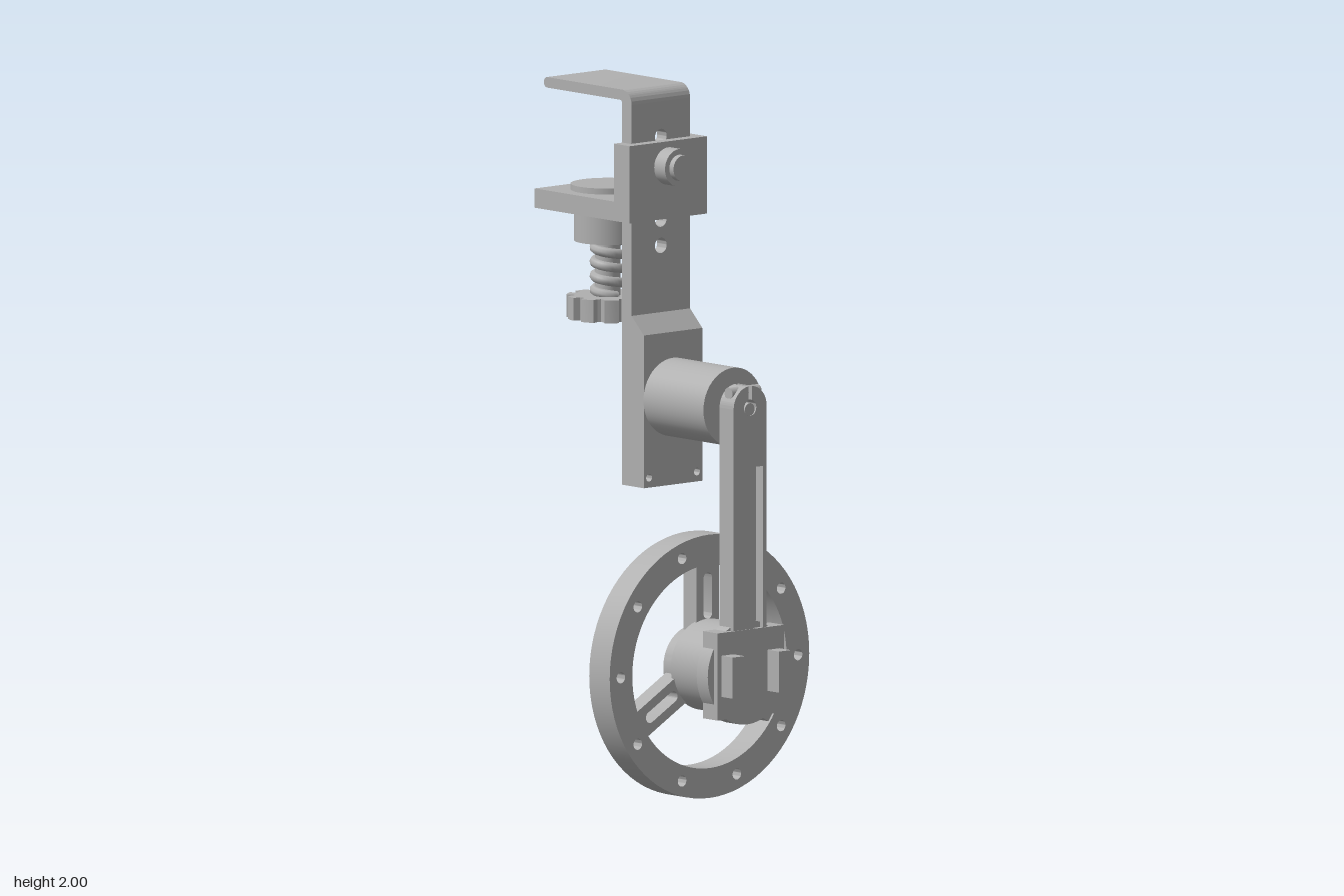
import * as THREE from 'three';
import { toCreasedNormals } from 'three/addons/utils/BufferGeometryUtils.js';

export function createModel() {
  const root = new THREE.Group();
  root.name = 'clampedWheelMount';
  const grey = new THREE.MeshStandardMaterial({ color: 0xb0b0b0 });
  grey.name = 'machined grey';

  const add = (name, geo) => {
    const mesh = new THREE.Mesh(geo, grey);
    mesh.name = name;
    root.add(mesh);
    return mesh;
  };
  const extrude = (shape, depth) => toCreasedNormals(
    new THREE.ExtrudeGeometry(shape, { depth, bevelEnabled: false, curveSegments: 40 }), 0.5);
  // Outline in (-z, y), pushed from x0 to x1
  const alongX = (name, shape, x0, x1) =>
    add(name, extrude(shape, x1 - x0).rotateY(Math.PI / 2).translate(x0, 0, 0));
  // Outline in (x, y), centred on z = 0
  const alongZ = (name, shape, width) =>
    add(name, extrude(shape, width).translate(0, 0, -width / 2));
  const box = (name, x0, x1, y0, y1, z0, z1) =>
    add(name, new THREE.BoxGeometry(x1 - x0, y1 - y0, z1 - z0)
      .translate((x0 + x1) / 2, (y0 + y1) / 2, (z0 + z1) / 2));
  const rodX = (name, r, x0, x1, y) =>
    add(name, new THREE.CylinderGeometry(r, r, x1 - x0, 48).rotateZ(Math.PI / 2).translate((x0 + x1) / 2, y, 0));
  const rodY = (name, r, y0, y1, x) =>
    add(name, new THREE.CylinderGeometry(r, r, y1 - y0, 48).translate(x, (y0 + y1) / 2, 0));
  const poly = (pts) => new THREE.Shape(pts.map(([a, b]) => new THREE.Vector2(a, b)));
  const rect = (a0, a1, b0, b1) => poly([[a0, b0], [a1, b0], [a1, b1], [a0, b1]]);
  const circle = (Type, a, b, r) => {
    const p = new Type();
    p.absarc(a, b, r, 0, Math.PI * 2, false);
    return p;
  };
  const hole = (shape, a, b, r) => shape.holes.push(circle(THREE.Path, a, b, r));

  // Hook with a rounded bend at the top of the strap
  const hook = new THREE.Shape();
  hook.moveTo(-0.03, 1.92);
  hook.lineTo(-0.03, 1.96);
  hook.absarc(-0.07, 1.96, 0.04, 0, Math.PI / 2, false);
  hook.lineTo(-0.388, 2.0);
  hook.absarc(-0.388, 1.985, 0.015, Math.PI / 2, Math.PI * 1.5, false);
  hook.lineTo(-0.08, 1.97);
  hook.absarc(-0.08, 1.96, 0.01, Math.PI / 2, 0, true);
  hook.lineTo(-0.07, 1.92);
  alongZ('topHook', hook, 0.22);

  // Strap with adjustment holes
  const strap = rect(-0.11, 0.11, 1.36, 1.92);
  [1.55, 1.625, 1.7, 1.78, 1.86].forEach((y) => hole(strap, 0, y, 0.022));
  alongX('strap', strap, -0.07, -0.03);

  // Thick motor mount at the foot of the strap
  alongZ('motorMount', poly([[-0.07, 0.93], [0.022, 0.93], [0.022, 1.31], [-0.03, 1.36], [-0.07, 1.36]]), 0.22);
  const foot = rect(-0.11, 0.11, 0.875, 0.93);
  [-0.09, 0.09].forEach((a) => hole(foot, a, 0.903, 0.011));
  alongX('mountFoot', foot, -0.07, 0.022);

  // Sliding clamp: plate, cheeks around the strap, shelf
  box('clampPlate', -0.03, 0.002, 1.63, 1.85, -0.145, 0.145);
  box('clampCheek', -0.065, -0.03, 1.63, 1.85, 0.113, 0.145);
  box('clampCheek', -0.065, -0.03, 1.63, 1.85, -0.145, -0.113);
  box('clampShelf', -0.402, -0.065, 1.63, 1.685, -0.145, 0.145);
  rodX('lockBolt', 0.053, 0, 0.048, 1.78);
  rodX('lockBoltTip', 0.037, 0.048, 0.066, 1.78);

  // Clamping screw
  const sx = -0.255;
  rodY('clampPad', 0.105, 1.685, 1.702, sx);
  rodY('screwBoss', 0.095, 1.54, 1.63, sx);
  rodY('screwCore', 0.036, 1.38, 1.545, sx);
  const turns = 4, helix = [];
  for (let i = 0; i <= turns * 16; i++) {
    const t = i / 16, a = t * Math.PI * 2;
    helix.push(new THREE.Vector3(sx + 0.038 * Math.cos(a), 1.385 + 0.16 * t / turns, 0.038 * Math.sin(a)));
  }
  add('screwThread', new THREE.TubeGeometry(new THREE.CatmullRomCurve3(helix), turns * 28, 0.014, 8));

  // Knob with scalloped grip
  const knob = new THREE.Shape(), lobes = 10;
  for (let i = 0; i < lobes; i++) {
    const a = (i / lobes) * Math.PI * 2, gap = Math.PI / lobes;
    for (let k = 0; k <= 4; k++) {
      const b = a + (k / 4 - 0.5) * gap * 1.1;
      if (i + k === 0) knob.moveTo(0.116 * Math.cos(b), 0.116 * Math.sin(b));
      else knob.lineTo(0.116 * Math.cos(b), 0.116 * Math.sin(b));
    }
    for (const f of [0.72, 1, 1.28]) {
      const b = a + f * gap, r = f === 1 ? 0.092 : 0.097;
      knob.lineTo(r * Math.cos(b), r * Math.sin(b));
    }
  }
  add('screwKnob', extrude(knob, 0.065).rotateX(-Math.PI / 2).translate(sx, 1.32, 0));

  // Motor and shaft
  const my = 1.125;
  rodX('motor', 0.111, 0.022, 0.277, my);
  rodX('motorShaft', 0.018, 0.277, 0.348, my);

  // Crank arm: split eye at the top, blind groove on the outer face
  const armShape = () => {
    const s = new THREE.Shape(), q = Math.PI / 2;
    s.moveTo(-0.062, 0.45);
    s.lineTo(0.062, 0.45);
    s.lineTo(0.062, 1.13);
    s.absarc(0, 1.13, 0.062, 0, q - 0.1, false);
    s.absarc(0, 1.13, 0.023, q - 0.28, q + 0.28 - Math.PI * 2, true);
    s.absarc(0, 1.13, 0.062, q + 0.1, Math.PI, false);
    return s;
  };
  alongX('armBack', armShape(), 0.29, 0.32);
  const front = armShape();
  const groove = new THREE.Path();
  groove.setFromPoints([[0.016, 0.49], [0.048, 0.49], [0.048, 0.96], [0.016, 0.96]]
    .map(([a, b]) => new THREE.Vector2(a, b)));
  front.holes.push(groove);
  alongX('armFront', front, 0.32, 0.35);
  add('armPinchScrew', new THREE.CylinderGeometry(0.017, 0.017, 0.11, 20).rotateX(Math.PI / 2).translate(0.32, 1.172, 0));

  // Bearing housing at the foot of the arm
  const wy = 0.375;
  rodX('hubDisc', 0.148, 0.29, 0.337, wy);
  box('hubPlate', 0.29, 0.352, 0.252, 0.5, -0.125, 0.125);
  rodX('hubBarrel', 0.13, 0.16, 0.29, 0.38);
  for (const s of [-1, 1]) {
    box('hubLug', 0.35, 0.4, 0.318, 0.435, s * 0.087 - 0.023, s * 0.087 + 0.023);
  }

  // Wheel rim with ten holes
  const rim = circle(THREE.Shape, 0, wy, 0.375);
  hole(rim, 0, wy, 0.29);
  for (let i = 0; i < 10; i++) {
    const a = (i / 10) * Math.PI * 2;
    hole(rim, 0.333 * Math.cos(a), wy + 0.333 * Math.sin(a), 0.016);
  }
  alongX('wheelRim', rim, 0.09, 0.177);

  // Three slotted spokes
  for (let i = 0; i < 3; i++) {
    const spoke = rect(0.085, 0.296, -0.042, 0.042);
    const slot = new THREE.Path();
    slot.absarc(0.15, 0, 0.016, Math.PI / 2, Math.PI * 1.5, false);
    slot.absarc(0.25, 0, 0.016, -Math.PI / 2, Math.PI / 2, false);
    spoke.holes.push(slot);
    const geo = extrude(spoke, 0.055).rotateZ(Math.PI / 2 + i * Math.PI * 2 / 3);
    add('wheelSpoke', geo.rotateY(Math.PI / 2).translate(0.115, wy, 0));
  }

  // Drilled wheel centre
  const centre = circle(THREE.Shape, 0, wy, 0.11);
  hole(centre, 0, wy, 0.022);
  for (let i = 0; i < 6; i++) {
    const a = (i / 6) * Math.PI * 2;
    hole(centre, 0.07 * Math.cos(a), wy + 0.07 * Math.sin(a), 0.016);
  }
  alongX('wheelCentre', centre, 0.105, 0.165);

  return root;
}
